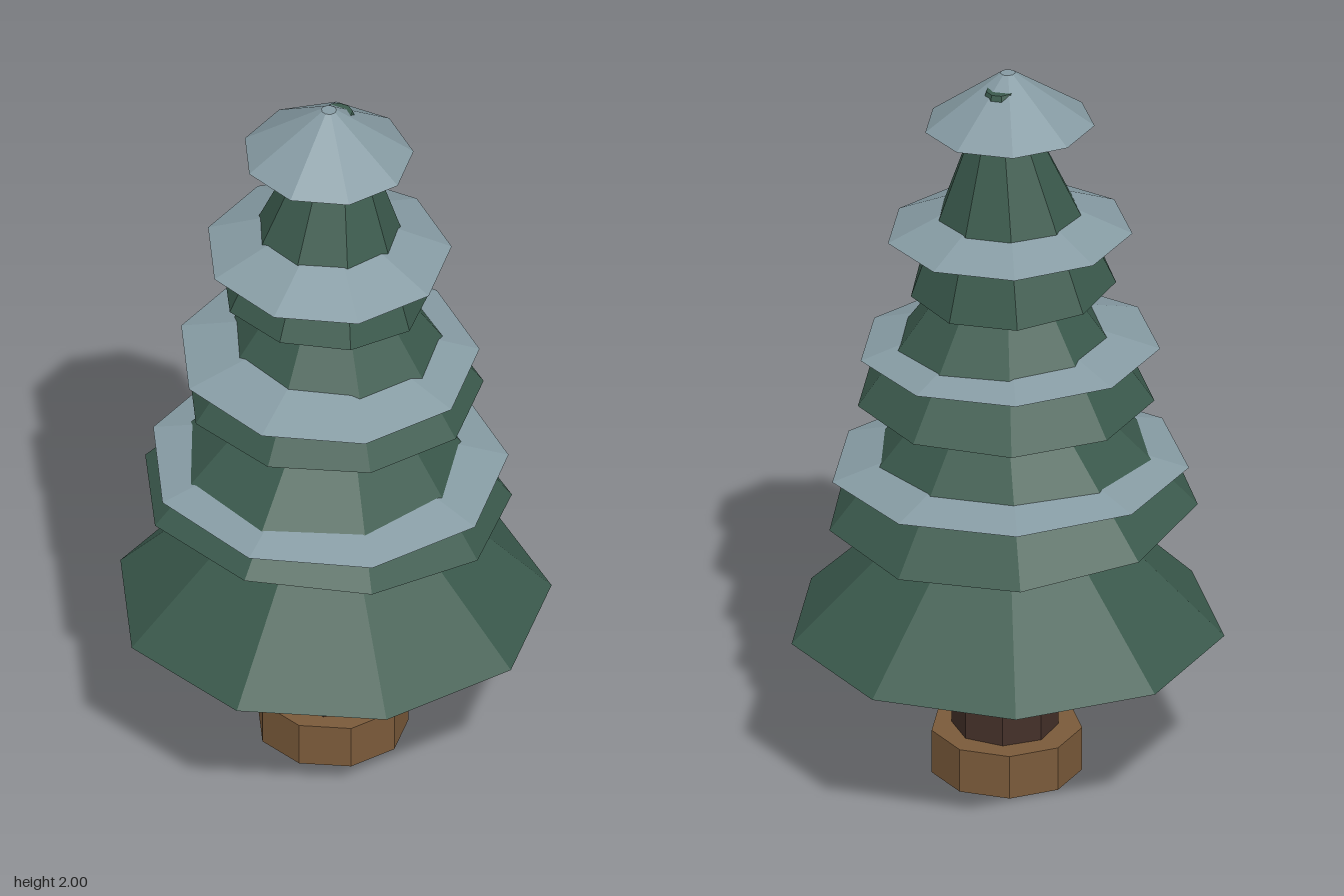
import * as THREE from 'three';

const mat = (color) => new THREE.MeshStandardMaterial({ color, flatShading: true, roughness: 0.9 });

export function createModel() {
  const tree = new THREE.Group();
  tree.name = 'snowyPineTree';
  const green = mat(0x3b5a4d), snow = mat(0x869ba3), bark = mat(0x443029), wood = mat(0x7a5a3a);

  // Faceted frustum standing on its base centre, so that it tilts about that point
  function frustum(name, material, rBase, rTop, height, sides, [x, y, z], turn = Math.PI) {
    const geo = new THREE.CylinderGeometry(rTop, rBase, height, sides);
    geo.rotateY(turn); // a corner points to the back
    geo.translate(0, height / 2, 0);
    const mesh = new THREE.Mesh(geo, material);
    mesh.name = name;
    mesh.position.set(x, y, z);
    tree.add(mesh);
    return mesh;
  }

  // Wooden foot and trunk
  frustum('foot', wood, 0.2, 0.2, 0.122, 9, [0, 0, 0.015]);
  frustum('trunk', bark, 0.14, 0.14, 0.42, 8, [0, 0.02, 0.02]);

  // Branch tiers: base radius, top radius, height, x, y, z, sideways tilt
  const tiers = [
    [0.575, 0.15, 0.42, 0, 0.413, 0.015, 0],
    [0.49, 0.13, 0.41, -0.025, 0.757, 0.02, -0.078],
    [0.394, 0.1, 0.41, 0, 1.085, 0.02, 0],
    [0.273, 0.038, 0.572, -0.027, 1.4, 0.02, -0.075],
  ];
  tiers.forEach(([rb, rt, h, x, y, z, tilt], i) => {
    frustum('branchTier' + (i + 1), green, rb, rt, h, 9, [x, y, z]).rotation.z = tilt;
  });

  // Snow skirts resting on the tiers and the snow cap: base radius, top radius, height, y
  const snows = [
    [0.474, 0.24, 0.07, 0.868],
    [0.398, 0.16, 0.075, 1.212],
    [0.325, 0.1, 0.1, 1.545],
    [0.225, 0.02, 0.145, 1.855],
  ];
  snows.forEach(([rb, rt, h, y], i) => {
    const name = i < 3 ? 'snowSkirt' + (i + 1) : 'snowCap';
    frustum(name, snow, rb, rt, h, 9, [-0.025, y, 0.031]).rotation.x = 0.038;
  });

  return tree;
}
